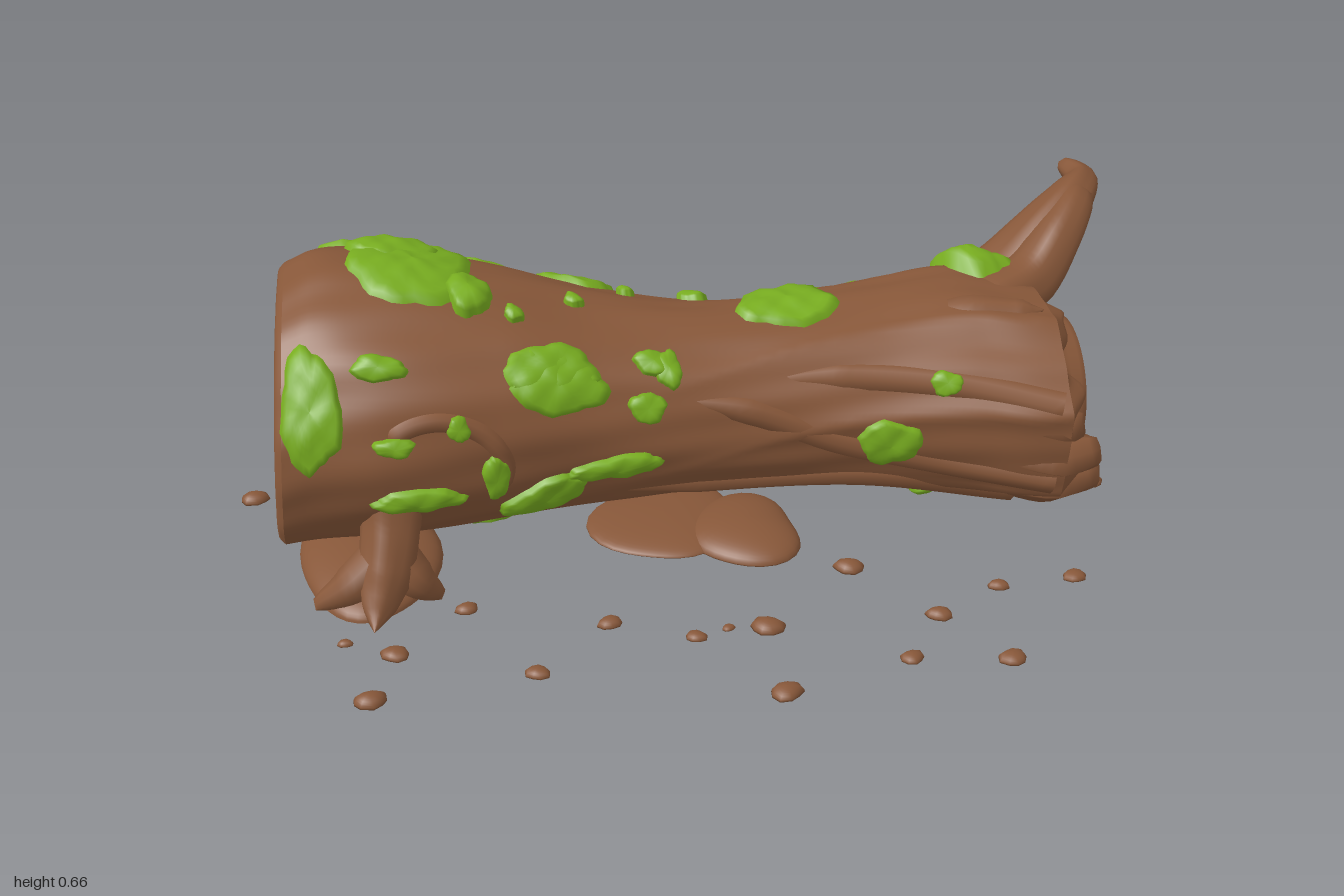
import * as THREE from 'three';

const { sin, cos, abs, PI, sqrt, max, min } = Math;
const lerp = THREE.MathUtils.lerp;
const smooth = THREE.MathUtils.smoothstep;

// Trunk stations: x -> centre y, half height, centre z, half depth
const STATION_X = [-0.86, -0.8, -0.65, -0.4, -0.2, 0, 0.2, 0.4, 0.6, 0.7, 0.82];
const STATIONS = [
  0.315, 0.297, -0.05, 0.315, 0.33, 0.305, -0.05, 0.32, 0.335, 0.3, -0.035, 0.325,
  0.32, 0.265, -0.025, 0.29, 0.3, 0.23, -0.02, 0.25, 0.29, 0.205, -0.005, 0.22,
  0.285, 0.2, -0.005, 0.22, 0.28, 0.215, -0.01, 0.235, 0.272, 0.24, 0, 0.26,
  0.262, 0.24, 0.03, 0.255, 0.25, 0.235, 0.06, 0.245];
const spline = new THREE.CubicInterpolant(STATION_X, STATIONS, 4);
const station = (x) => [...spline.evaluate(min(0.82, max(-0.86, x)))];

// Bark relief: gentle swells, with twisted ridges toward the broken end
function relief(x, a) {
  const twist = a + 0.9 * x;
  const ridge = (1 - abs(sin(3.5 * twist + 0.4 * sin(6 * x)))) ** 2;
  return 1 + 0.012 * sin(3 * a + 5 * x) + 0.008 * sin(8 * a - 11 * x) +
    0.006 * sin(17 * a + 9 * x) + 0.075 * smooth(x, -0.3, 0.8) * (ridge - 0.3);
}

// Point on the trunk; angle 0 is the top, positive toward the front
function trunkPoint(x, a, lift = 0) {
  const [cy, ry, cz, rz] = station(x);
  const k = relief(x, a);
  return new THREE.Vector3(x, max(0.008, cy + cos(a) * (ry * k + lift)), cz + sin(a) * (rz * k + lift));
}

// Surface from loops of points, closed around v
function loops(nu, nv, fn) {
  const pos = [], index = [];
  for (let i = 0; i <= nu; i++) {
    for (let j = 0; j < nv; j++) {
      pos.push(...fn(i / nu, (j / nv) * 2 * PI).toArray());
      if (i === nu) continue;
      const a = i * nv + j, c = i * nv + (j + 1) % nv;
      index.push(a, c, a + nv, c, c + nv, a + nv);
    }
  }
  const g = new THREE.BufferGeometry();
  g.setAttribute('position', new THREE.Float32BufferAttribute(pos, 3));
  g.setIndex(index);
  g.computeVertexNormals();
  return g;
}

// Tapered tube along points [x, y, z, radius], kept above the ground
function sweep(points, nu = 24, nv = 20, rough = 0.06) {
  const curve = new THREE.CatmullRomCurve3(points.map((p) => new THREE.Vector3(p[0], p[1], p[2])));
  const frames = curve.computeFrenetFrames(nu);
  return loops(nu, nv, (u, v) => {
    const i = Math.round(u * nu), t = curve.getUtoTmapping(u) * (points.length - 1);
    const k = min(points.length - 2, Math.floor(t));
    const r = lerp(points[k][3], points[k + 1][3], t - k) * (1 + rough * sin(5 * v + 4 * u));
    const p = curve.getPointAt(u).addScaledVector(frames.normals[i], r * cos(v))
      .addScaledVector(frames.binormals[i], r * sin(v));
    p.y = max(0.004, p.y);
    return p;
  });
}

// Low lump on the ground with a flat underside
function mound(x, z, rx, rz, h, seed = 0, nu = 9, nv = 18, base = 0.004) {
  return loops(nu, nv, (u, v) => {
    const t = min(1, u * 9 / 8);
    const r = u === 1 ? 0 : sin(t * PI / 2) * (1 + 0.1 * sin(2 * v + seed) + 0.07 * sin(3 * v + seed * 2.3));
    return new THREE.Vector3(x + rx * r * cos(v), base + h * (u === 1 ? 0 : cos(t * PI / 2)), z + rz * r * sin(v));
  });
}

// Domed moss cushion that follows the trunk
function mossPatch(x, a, rx, rs, tilt = 0, h = 0.018) {
  const [, ry, , rz] = station(x), r = (ry + rz) / 2, seed = x * 31 + a * 17;
  return loops(8, 32, (u, v) => {
    const k = u * (1 + 0.07 * sin(3 * v + seed) + 0.05 * sin(5 * v - seed) + 0.03 * sin(11 * v + seed));
    const p = rx * k * cos(v), q = rs * k * sin(v);
    const px = p * cos(tilt) - q * sin(tilt), qs = p * sin(tilt) + q * cos(tilt);
    const lift = u === 1 ? -0.012 : h * sqrt(1 - u * u) + 0.003 * sin(90 * px) * sin(80 * qs) + 0.003;
    return trunkPoint(max(-0.86, x + px), a + qs / r, lift);
  });
}

export function createModel() {
  const model = new THREE.Group();
  const bark = new THREE.MeshStandardMaterial({ color: 0x875739 });
  bark.name = 'bark brown';
  const moss = new THREE.MeshStandardMaterial({ color: 0x78ad20 });
  moss.name = 'moss green';
  const add = (name, geometry, material = bark) => {
    const m = new THREE.Mesh(geometry, material);
    m.name = name;
    model.add(m);
  };

  // Trunk, with the sawn end leaning slightly
  const lean = (p) => { p.x -= 0.08 * (0.3 - p.y) * smooth(-p.x, 0.7, 0.86); return p; };
  add('trunk', loops(110, 112, (u, v) => lean(trunkPoint(lerp(-0.86, 0.775, u), v))));

  // Sawn end: raised bark lip and growth rings
  add('sawnEnd', loops(60, 96, (u, v) => {
    const p = lean(trunkPoint(-0.86, v)), [cy, , cz] = station(-0.86);
    const ring = u > 0.87 ? 0.014 * sin(PI * (u - 0.87) / 0.13) : 0.007 * smooth(sin(u * 34 + 0.5 * sin(2 * v)), -0.8, 0);
    return new THREE.Vector3(lerp(-0.863, p.x, u) - ring, lerp(cy, p.y, u), lerp(cz, p.z, u));
  }));

  // Broken end: ragged rim, collar and round bowl-shaped hollow
  const hollow = [[0, 0, 0.775], [0.35, 0, 0.795], [0.7, 0, 0.79], [1, 0.165, 0.8], [1, 0.153, 0.845], [1, 0.135, 0.845],
    [1, 0.124, 0.815], [1, 0.105, 0.765], [1, 0.075, 0.735], [1, 0.045, 0.725], [1, 0, 0.71]];
  add('brokenEnd', loops(40, 112, (u, v) => {
    const t = u * (hollow.length - 1), k = min(hollow.length - 2, Math.floor(t)), f = t - k;
    const [blend, , x] = hollow[k].map((n, i) => lerp(n, hollow[k + 1][i], f));
    const r = t < 3 ? 0.165 : lerp(hollow[k][1], hollow[k + 1][1], f);
    const rim = trunkPoint(0.775, v);
    const rag = 0.02 * sin(PI * min(1, t / 3)) * (sin(7 * v) + 0.6 * sin(13 * v + 1));
    return new THREE.Vector3(x + rag, lerp(rim.y, 0.265 + r * cos(v), blend), lerp(rim.z, 0.03 + r * sin(v), blend));
  }));

  // Splinters around the broken rim: angle, reach, thickness
  for (const [a, reach, r] of [[1.35, 0.82, 0.04], [1.8, 0.87, 0.05], [2.3, 0.89, 0.055],
    [2.8, 0.91, 0.045], [3.45, 0.9, 0.05], [4.25, 0.87, 0.045]]) {
    const p = trunkPoint(0.62, a, -0.03), q = trunkPoint(0.77, a, -0.04);
    add('splinter', sweep([[p.x, p.y, p.z, r * 0.4], [q.x, q.y, q.z, r],
      [reach - 0.015, lerp(q.y, 0.265, 0.08), lerp(q.z, 0.03, 0.08), r * 0.7],
      [reach, lerp(q.y, 0.265, 0.1), lerp(q.z, 0.03, 0.1), 0]], 12, 9, 0.18));
  }
  add('topSplinter', sweep([[0.42, 0.44, 0.04, 0.02], [0.6, 0.475, 0.06, 0.04], [0.72, 0.475, 0.08, 0.035], [0.76, 0.49, 0.09, 0]], 16, 10));

  // Broken branch, with a ridge fanning back onto the trunk
  add('branch', sweep([[0.45, 0.28, -0.07, 0.12], [0.65, 0.325, -0.145, 0.125], [0.77, 0.405, -0.195, 0.102],
    [0.86, 0.52, -0.22, 0.07], [0.925, 0.578, -0.26, 0.052], [0.967, 0.592, -0.33, 0.035], [0.95, 0.6, -0.39, 0.022],
    [0.94, 0.602, -0.41, 0]], 40, 24, 0.05));
  add('branchRidge', sweep([[0.5, 0.42, 0, 0.03], [0.68, 0.435, -0.05, 0.065], [0.79, 0.455, -0.11, 0.065],
    [0.87, 0.535, -0.17, 0.055], [0.92, 0.58, -0.23, 0.045], [0.95, 0.59, -0.29, 0.02]], 30, 18, 0.05));

  // Raised veins in the bark, as trunk coordinates
  for (const path of [[[-0.12, 1.05], [0.1, 1.2], [0.3, 1.65], [0.5, 1.9], [0.76, 2]], [[0.05, 0.95], [0.3, 0.9], [0.55, 1.05], [0.76, 1.15]],
    [[-0.3, 2.1], [0, 2.3], [0.35, 2.2], [0.7, 2.5]]]) {
    add('barkVein', sweep(path.map(([x, a], i) => {
      const p = trunkPoint(x, a, -0.022);
      return [p.x, p.y, p.z, i ? 0.034 : 0.004];
    }), 40, 10));
  }
  // Knot swelling on the front
  add('knot', sweep([...Array(12)].map((_, i) => {
    const t = -0.7 + i * 0.3, p = trunkPoint(-0.54 + 0.13 * cos(t), 1.62 - 0.4 * sin(t), -0.014);
    return [p.x, p.y, p.z, i % 11 ? 0.024 : 0.002];
  }), 40, 10));

  // Roots and feet
  add('backRoot', sweep([[-0.66, 0.24, -0.13, 0.14], [-0.66, 0.11, -0.24, 0.115], [-0.66, 0.035, -0.36, 0.08],
    [-0.66, 0.02, -0.46, 0.055], [-0.66, 0.01, -0.52, 0]]));
  add('backFoot', mound(-0.665, -0.455, 0.155, 0.155, 0.06, 4, 18, 36));
  add('frontRoot', sweep([[-0.64, 0.28, 0.16, 0.09], [-0.65, 0.17, 0.23, 0.062], [-0.67, 0.08, 0.285, 0.056],
    [-0.69, 0.03, 0.335, 0.034], [-0.7, 0.01, 0.385, 0]]));
  add('frontFoot', mound(-0.71, 0.12, 0.14, 0.23, 0.055, 1, 18, 36));
  for (const x of [-0.82, -0.56]) {
    add('rootToe', sweep([[-0.66, 0.12, 0.25, 0.05], [(x - 0.66) / 2, 0.06, 0.28, 0.042], [x, 0.012, 0.28, 0.012], [x, 0.01, 0.29, 0]], 12, 10));
  }

  // Moss on the front (x, y), back (x, y) and top (x, z), then half sizes, tilt, height
  const byHeight = (x, y) => { const [cy, ry] = station(x); return Math.acos(max(-1, min(1, (y - cy) / ry))); };
  const byDepth = (x, z) => { const [, , cz, rz] = station(x); return Math.asin(max(-1, min(1, (z - cz) / rz))); };
  for (const [x, y, ...size] of [[-0.79, 0.46, 0.065, 0.14], [-0.29, 0.455, 0.105, 0.075], [-0.33, 0.21, 0.11, 0.05, -0.45],
    [-0.18, 0.262, 0.11, 0.033, -0.1], [0.4, 0.27, 0.072, 0.062], [-0.11, 0.385, 0.042, 0.036], [-0.09, 0.455, 0.045, 0.03], [0.52, 0.395, 0.037, 0.03],
    [0.5, 0.09, 0.03, 0.04], [-0.59, 0.26, 0.1, 0.032], [-0.43, 0.29, 0.03, 0.06], [-0.65, 0.53, 0.06, 0.03],
    [-0.63, 0.39, 0.045, 0.022], [-0.5, 0.41, 0.025, 0.03], [-0.46, 0.055, 0.09, 0.06]]) add('mossFront', mossPatch(x, byHeight(x, y), ...size), moss);
  for (const [x, y, ...size] of [[0.675, 0.43, 0.1, 0.13, 0, 0.062], [0.26, 0.39, 0.065, 0.09], [0.38, 0.21, 0.13, 0.09, 0.2, 0.03],
    [-0.36, 0.37, 0.095, 0.13], [-0.33, 0.22, 0.06, 0.07], [-0.76, 0.38, 0.075, 0.12],
    [-0.05, 0.36, 0.03, 0.035]]) add('mossBack', mossPatch(x, -byHeight(x, y), ...size), moss);
  for (const [x, z, ...size] of [[-0.57, -0.05, 0.13, 0.155, 0.5], [-0.61, -0.14, 0.1, 0.085, 0, 0.026], [-0.46, 0.04, 0.05, 0.065, 0, 0.03],
    [0.22, -0.02, 0.115, 0.09], [0.26, -0.18, 0.095, 0.065], [-0.42, -0.26, 0.085, 0.065], [-0.22, -0.2, 0.09, 0.085], [-0.3, 0.18, 0.105, 0.065],
    [-0.7, -0.28, 0.11, 0.065], [-0.06, 0.15, 0.03, 0.045], [0.03, -0.12, 0.035, 0.03], [-0.12, -0.1, 0.02, 0.02],
    [-0.24, 0, 0.022, 0.022], [-0.37, 0.08, 0.022, 0.022], [0.4, -0.19, 0.03, 0.02]]) {
    add('mossTop', mossPatch(x, byDepth(x, z), ...size), moss);
  }

  // Soil under the trunk
  add('soil', mound(-0.06, 0.06, 0.15, 0.16, 0.025, 2, 14, 30));
  add('soil', mound(0.11, 0.13, 0.13, 0.125, 0.042, 5, 14, 30));

  // Scattered chips: x, z, size
  const chips = [-0.81, -0.65, 0.032, -0.47, -0.69, 0.037, -0.47, -0.55, 0.02, -0.45, -0.36, 0.028, -0.34, -0.43, 0.033,
    -0.23, -0.5, 0.021, -0.13, -0.36, 0.025, -0.04, -0.41, 0.018, 0.08, -0.52, 0.021, 0.11, -0.43, 0.027, 0.05, -0.28, 0.024,
    0.2, -0.4, 0.024, 0.34, -0.41, 0.022, 0.84, -0.36, 0.03, -0.965, -0.16, 0.035, 0.93, 0.04, 0.028, -0.71, 0.59, 0.036,
    -0.66, 0.45, 0.028, -0.51, 0.32, 0.026, -0.38, 0.55, 0.025, -0.22, 0.41, 0.027, -0.05, 0.48, 0.022, 0.02, 0.46, 0.014,
    0.1, 0.47, 0.036, 0.1, 0.68, 0.033, 0.31, 0.29, 0.034, 0.37, 0.61, 0.024, 0.46, 0.48, 0.03, 0.57, 0.64, 0.028,
    0.61, 0.4, 0.025, 0.78, 0.39, 0.024, -0.76, 0.4, 0.018];
  for (let i = 0; i < chips.length; i += 3) {
    const [x, z, r] = chips.slice(i, i + 3);
    add('woodChip', mound(x, z, r, r * (0.8 + 0.2 * sin(i)), r * 0.6, i, 9, 9, 0));
  }
  return model;
}
